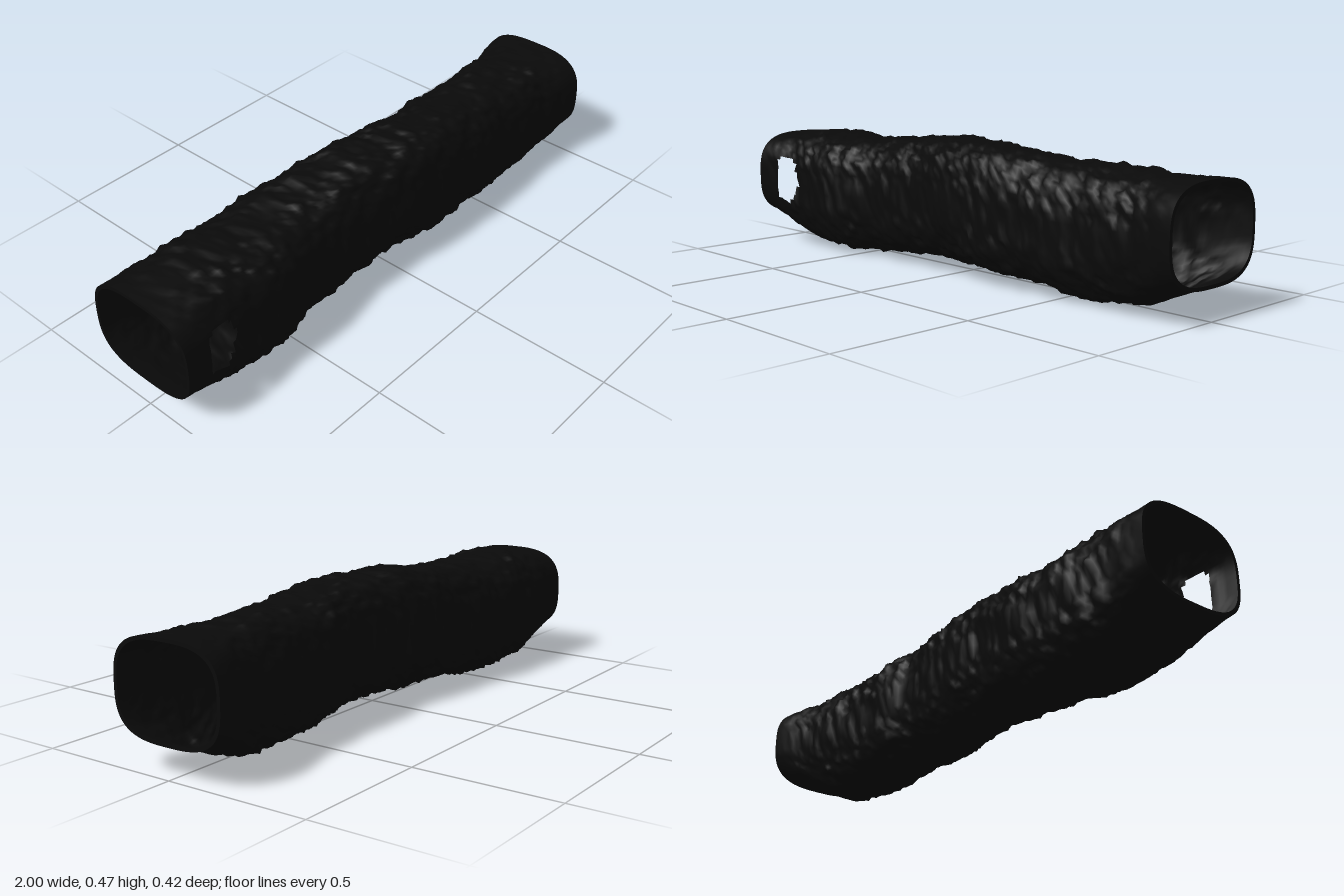
import * as THREE from 'three';

const SEGS = 140, SIDES = 80;

// Tunnel limits at stations every 0.2 along x, from -1 to 1
const FLOOR = [0.11, 0.042, 0.018, 0.033, 0.052, 0.052, 0.052, 0.033, 0.019, 0.042, 0.11];
const ROOF = [0.43, 0.435, 0.433, 0.442, 0.46, 0.474, 0.465, 0.444, 0.437, 0.43, 0.43];
const FRONT = [0.208, 0.19, 0.187, 0.157, 0.152, 0.172, 0.187, 0.182, 0.172, 0.175, 0.208];
const BACK = [-0.208, -0.205, -0.207, -0.195, -0.167, -0.147, -0.118, -0.142, -0.15, -0.168, -0.208];

// Outline of the ragged window in the front wall (x, y)
const WINDOW = [[-0.9, 0.33], [-0.82, 0.34], [-0.785, 0.28], [-0.79, 0.23], [-0.84, 0.16], [-0.9, 0.18]];

// Smooth curve through a station list
function sample(list, x) {
  const t = (x + 1) * 5, i = Math.min(9, Math.floor(t)), f = t - i;
  const p = k => list[Math.max(0, Math.min(10, i + k))];
  const a = p(-1), b = p(0), c = p(1), d = p(2);
  return b + 0.5 * f * (c - a + f * (2 * a - 5 * b + 4 * c - d + f * (3 * (b - c) + d - a)));
}

function hash(i, j) {
  let h = Math.imul(i + 17, 374761393) ^ Math.imul(j + 31, 668265263);
  h = Math.imul(h ^ (h >>> 13), 1274126177);
  return ((h ^ (h >>> 16)) >>> 0) / 4294967296;
}

// Bumps on a coarse grid that wraps round the section
function bumps(i, j, cell) {
  const u = i / cell, v = j / cell, a = Math.floor(u), b = Math.floor(v);
  const n = SIDES / cell, lerp = THREE.MathUtils.lerp;
  const h = (p, q) => hash(p + cell * 100, q % n);
  return lerp(lerp(h(a, b), h(a + 1, b), u - a), lerp(h(a, b + 1), h(a + 1, b + 1), u - a), v - b) - 0.5;
}

// Point on the rounded-square section, moved in or out by grow
function sectionPoint(x, j, grow) {
  const a = (j / SIDES) * Math.PI * 2;
  const round = c => Math.sign(c) * Math.pow(Math.abs(c), 2 / 3);
  const lo = sample(FLOOR, x), hi = sample(ROOF, x);
  const back = sample(BACK, x), front = sample(FRONT, x);
  return [
    x,
    (lo + hi) / 2 + ((hi - lo) / 2 + grow) * round(Math.sin(a)),
    (front + back) / 2 + ((front - back) / 2 + grow) * round(Math.cos(a)),
  ];
}

function inWindow(x, y) {
  let inside = false;
  WINDOW.forEach(([x1, y1], k) => {
    const [x2, y2] = WINDOW[(k + 1) % WINDOW.length];
    if ((y1 > y) !== (y2 > y) && x < x1 + ((y - y1) / (y2 - y1)) * (x2 - x1)) inside = !inside;
  });
  return inside;
}

function gridGeometry(positions, rows, skip) {
  const index = [];
  for (let i = 0; i < rows - 1; i++) {
    for (let j = 0; j < SIDES; j++) {
      const a = i * SIDES + j, b = i * SIDES + (j + 1) % SIDES;
      if (skip && skip(a, b + SIDES)) continue;
      index.push(a, a + SIDES, b, b, a + SIDES, b + SIDES);
    }
  }
  const geo = new THREE.BufferGeometry();
  geo.setAttribute('position', new THREE.Float32BufferAttribute(positions, 3));
  geo.setIndex(index);
  geo.computeVertexNormals();
  return geo;
}

export function createModel() {
  const group = new THREE.Group();
  group.name = 'caveTunnel';
  const rock = new THREE.MeshStandardMaterial({ color: 0x0a0a0a, side: THREE.DoubleSide });
  rock.name = 'darkRock';

  // Rough rock wall, calm towards both mouths
  const wall = [];
  for (let i = 0; i <= SEGS; i++) {
    const x = -1 + (2 * i) / SEGS;
    const fade = Math.min(1, (1 - Math.abs(x)) / 0.2);
    for (let j = 0; j < SIDES; j++) {
      const grow = fade * (0.016 * bumps(i, j, 8) + 0.014 * bumps(i, j, 2) + 0.008 * (hash(i, j) - 0.5));
      wall.push(...sectionPoint(x, j, grow));
    }
  }
  let low = Infinity;
  for (let k = 1; k < wall.length; k += 3) low = Math.min(low, wall[k]);
  for (let k = 1; k < wall.length; k += 3) wall[k] -= low;
  const isWindow = (a, b) => wall[a * 3 + 2] > 0.1 &&
    inWindow((wall[a * 3] + wall[b * 3]) / 2, (wall[a * 3 + 1] + wall[b * 3 + 1]) / 2);
  const shell = new THREE.Mesh(gridGeometry(wall, SEGS + 1, isWindow), rock);
  shell.name = 'tunnelWall';
  group.add(shell);

  // Flat rim round each mouth
  for (const end of [-1, 1]) {
    const rim = [];
    for (const grow of end > 0 ? [0, -0.012] : [-0.012, 0]) {
      for (let j = 0; j < SIDES; j++) rim.push(...sectionPoint(end, j, grow));
    }
    const mesh = new THREE.Mesh(gridGeometry(rim, 2), rock);
    mesh.name = end > 0 ? 'leftMouthRim' : 'rightMouthRim';
    mesh.position.y = -low;
    group.add(mesh);
  }
  return group;
}
